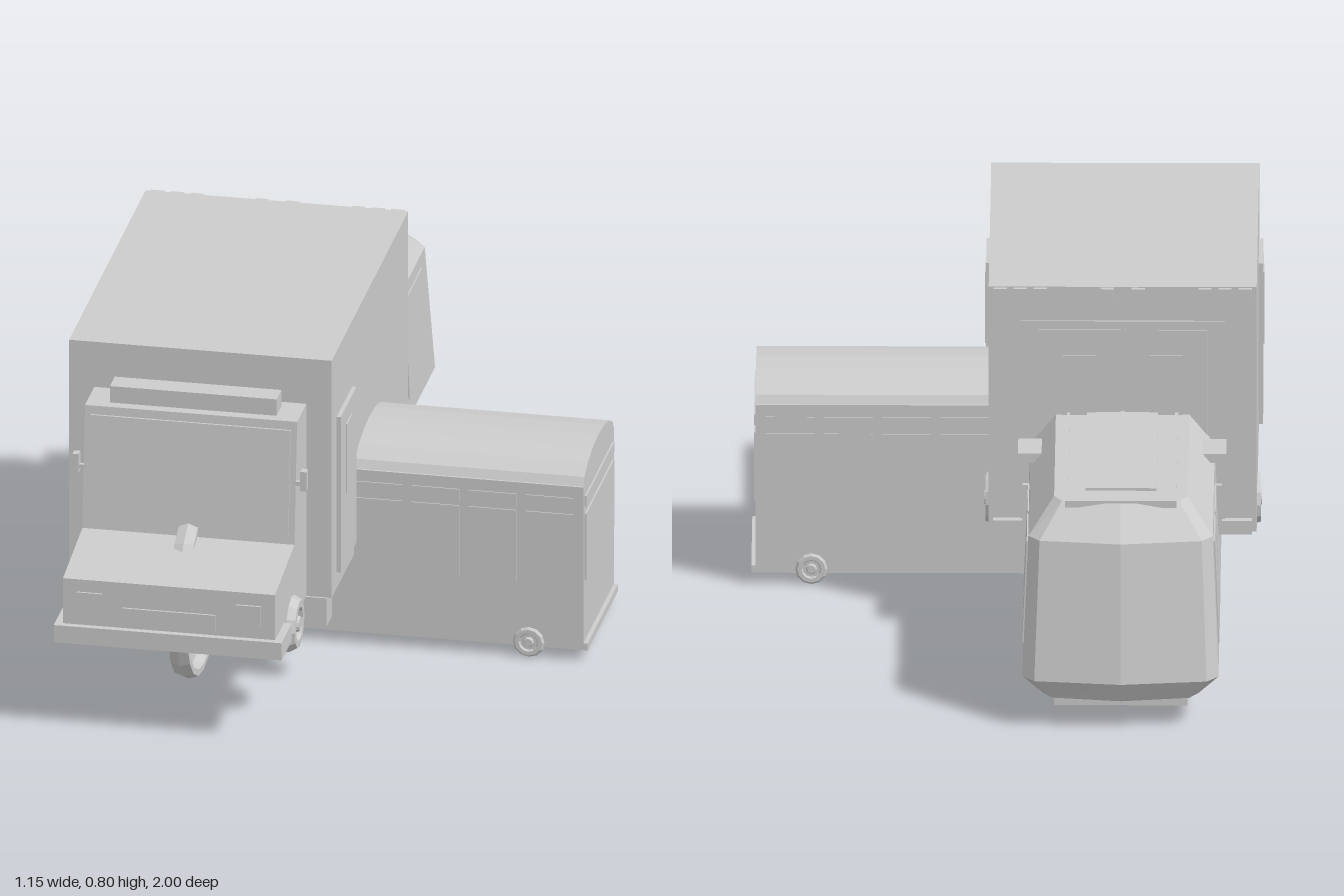
import * as THREE from 'three';

const mat = new THREE.MeshStandardMaterial({ color: 0xcccccc, flatShading: true });
const CX = -0.264; // shared centre line of van and tram

function add(parent, name, geometry) {
  const mesh = new THREE.Mesh(geometry, mat);
  mesh.name = name;
  parent.add(mesh);
  return mesh;
}

// Box given by its extents
function box(parent, name, x0, x1, y0, y1, z0, z1) {
  const m = add(parent, name, new THREE.BoxGeometry(x1 - x0, y1 - y0, z1 - z0));
  m.position.set((x0 + x1) / 2, (y0 + y1) / 2, (z0 + z1) / 2);
  return m;
}

// Box at an offset from the centre line, on both sides
function pair(parent, name, x0, x1, y0, y1, z0, z1) {
  box(parent, name + 'Left', CX + x0, CX + x1, y0, y1, z0, z1);
  box(parent, name + 'Right', CX - x1, CX - x0, y0, y1, z0, z1);
}

// Side profile of [z, y] points extruded across x
function sideExtrude(parent, name, points, x0, x1) {
  const shape = new THREE.Shape(points.map(([z, y]) => new THREE.Vector2(-z, y)));
  const g = new THREE.ExtrudeGeometry(shape, { depth: x1 - x0, bevelEnabled: false });
  g.rotateY(Math.PI / 2).translate(x0, 0, 0);
  return add(parent, name, g);
}

// Wheel with chamfered tyre, recessed rim and hub; the axle runs along +y
function wheel(parent, name, r, w) {
  const g = new THREE.Group();
  g.name = name;
  const profile = [[0, 0], [r * 0.8, 0], [r, w * 0.2], [r, w * 0.8], [r * 0.85, w], [r * 0.6, w], [r * 0.52, w * 0.85], [0, w * 0.85]];
  add(g, 'tyre', new THREE.LatheGeometry(profile.map(p => new THREE.Vector2(...p)), 12));
  const hub = add(g, 'hub', new THREE.CylinderGeometry(r * 0.25, r * 0.35, w * 0.2, 12));
  hub.position.y = w * 0.92;
  parent.add(g);
  return g;
}

function buildVan() {
  const van = new THREE.Group();
  van.name = 'boxVan';
  box(van, 'cargoBox', -0.565, 0.037, 0.22, 0.8, -0.235, 0.63);
  sideExtrude(van, 'cab', [[0.62, 0.22], [0.985, 0.22], [0.985, 0.372], [0.765, 0.402], [0.735, 0.69], [0.62, 0.69]], -0.507, -0.021);
  box(van, 'roofLightBar', -0.455, -0.073, 0.685, 0.73, 0.655, 0.71);
  // Windscreen lies on the sloping front of the cab
  sideExtrude(van, 'windscreen', [[0.76, 0.42], [0.768, 0.42], [0.742, 0.67], [0.734, 0.67]], -0.493, -0.035);
  // Bumper with bevelled ends
  const bumper = new THREE.Shape([[-0.261, 0.22], [0.261, 0.22], [0.261, 0.262], [-0.261, 0.262]].map(p => new THREE.Vector2(...p)));
  add(van, 'frontBumper', new THREE.ExtrudeGeometry(bumper, { depth: 0.115, bevelEnabled: false })).position.set(CX, 0, 0.885);
  pair(van, 'headlight', 0.153, 0.211, 0.295, 0.342, 0.98, 0.99);
  box(van, 'grille', -0.37, -0.157, 0.275, 0.312, 0.98, 0.99);
  pair(van, 'mirror', 0.254, 0.268, 0.53, 0.577, 0.735, 0.755);
  pair(van, 'mirrorBracket', 0.235, 0.258, 0.54, 0.55, 0.74, 0.75);
  pair(van, 'sideDoor', 0.298, 0.311, 0.26, 0.64, 0.4, 0.575);
  pair(van, 'sideDoorWindow', 0.308, 0.314, 0.43, 0.6, 0.46, 0.52);
  pair(van, 'step', 0.1, 0.16, 0.19, 0.215, 0.57, 0.635);
  pair(van, 'doorStep', 0.2, 0.29, 0.15, 0.22, 0.57, 0.635);
  // Rear doors, window frames, lamps and step
  pair(van, 'rearDoor', 0.005, 0.19, 0.25, 0.7, -0.243, -0.23);
  pair(van, 'rearDoorWindow', 0.06, 0.135, 0.48, 0.64, -0.247, -0.24);
  pair(van, 'rearDoorPost', 0.195, 0.23, 0.25, 0.7, -0.24, -0.23);
  box(van, 'rearDoorHeader', CX - 0.23, CX + 0.23, 0.7, 0.72, -0.24, -0.23);
  for (const x of [0.02, 0.17, 0.215, 0.26]) pair(van, 'rearLamp', x, x + 0.03, 0.775, 0.798, -0.246, -0.23);
  box(van, 'rearStep', -0.555, 0.027, 0.22, 0.252, -0.255, -0.23);
  // Road wheels
  for (const s of [-1, 1]) {
    for (const [z, outer] of [[0.8, 0.262], [-0.01, 0.309]]) {
      const w = wheel(van, 'vanWheel', 0.065, outer - 0.175);
      w.rotation.z = -s * Math.PI / 2;
      w.position.set(CX + s * 0.175, 0.225, z);
    }
  }
  return van;
}

function buildBus() {
  const bus = new THREE.Group();
  bus.name = 'bus';
  // Arched end section run along x
  const xEnd = 0.562, xStart = -0.44, zMid = 0.203, half = 0.173;
  const section = [[zMid - half, 0.03], [zMid + half, 0.03]];
  for (let i = 0; i <= 8; i++) {
    const a = (i / 8) * Math.PI;
    const t = Math.cos(a);
    section.push([zMid + half * t, 0.425 + 0.06 * Math.sin(a)]);
  }
  sideExtrude(bus, 'busBody', section, xStart, xEnd);
  box(bus, 'busBumper', 0.55, 0.572, 0.03, 0.047, zMid - half, zMid + half);
  const zs = [zMid - half, zMid + half];
  for (const z of zs) {
    for (let i = 0; i < 7; i++) {
      const x = 0.43 - i * 0.131;
      box(bus, 'busWindow', x, x + 0.11, 0.185, 0.36, z - 0.003, z + 0.003);
      box(bus, 'busUpperWindow', x, x + 0.11, 0.37, 0.4, z - 0.003, z + 0.003);
    }
    box(bus, 'busRoofRail', xStart, xEnd, 0.424, 0.429, z - 0.003, z + 0.003);
    const s = z > zMid ? 1 : -1;
    for (const x of [0.437, -0.19, -0.345]) {
      const w = wheel(bus, 'busWheel', 0.037, 0.035);
      w.rotation.x = s * Math.PI / 2;
      w.position.set(x, 0.04, z - s * 0.029);
    }
  }
  box(bus, 'busEndWindow', 0.555, 0.566, 0.195, 0.357, 0.045, 0.36);
  box(bus, 'busEndUpperWindow', 0.555, 0.566, 0.375, 0.4, 0.045, 0.36);
  return bus;
}

function buildTram() {
  const tram = new THREE.Group();
  tram.name = 'tram';
  // Stacked plan outlines: [height, half width, front z, back z]
  const levels = [[0.065, 0.175, 0.43, -0.965], [0.115, 0.22, 0.455, -0.998], [0.43, 0.207, 0.4, -0.945], [0.5, 0.15, 0.34, -0.872]];
  const pos = [], idx = [], n = 10;
  for (const [y, h, f, b] of levels) {
    const outline = [[h, f - 0.06], [h, b + 0.06], [0.88 * h, b + 0.025], [0, b], [-0.88 * h, b + 0.025],
      [-h, b + 0.06], [-h, f - 0.06], [-0.88 * h, f - 0.025], [0, f], [0.88 * h, f - 0.025]];
    for (const [x, z] of outline) pos.push(CX + x, y, z);
  }
  for (let k = 0; k < levels.length - 1; k++) {
    for (let i = 0; i < n; i++) {
      const a = k * n + i, b = k * n + (i + 1) % n;
      idx.push(a, b, b + n, a, b + n, a + n);
    }
  }
  const top = (levels.length - 1) * n;
  for (let i = 1; i < n - 1; i++) {
    idx.push(0, i + 1, i);
    idx.push(top, top + i, top + i + 1);
  }
  const g = new THREE.BufferGeometry();
  g.setAttribute('position', new THREE.Float32BufferAttribute(pos, 3));
  g.setIndex(idx);
  const body = g.toNonIndexed();
  body.computeVertexNormals();
  add(tram, 'tramBody', body);
  // Roof rails and equipment panel
  pair(tram, 'roofRail', 0.118, 0.125, 0.49, 0.506, -0.86, 0.3);
  box(tram, 'roofRailEnd', CX - 0.125, CX + 0.125, 0.49, 0.506, -0.865, -0.857);
  box(tram, 'roofPanel', CX - 0.08, CX + 0.08, 0.49, 0.506, -0.775, 0.2);
  pair(tram, 'sideCamera', 0.18, 0.234, 0.44, 0.462, -0.405, -0.3);
  pair(tram, 'doorHandle', 0.2, 0.224, 0.27, 0.37, -0.355, -0.34);
  // Side glazing follows the lean of the walls
  for (const s of [-1, 1]) {
    for (const z of [-0.74, -0.53]) {
      const w = box(tram, 'tramWindow', CX - 0.003, CX + 0.003, 0.16, 0.4, z - 0.095, z + 0.095);
      w.position.x = CX + s * 0.2135;
      w.rotation.z = s * 0.041;
    }
  }
  // Bogie covers
  box(tram, 'rearBogieCover', CX - 0.15, CX + 0.15, 0.02, 0.07, -0.86, -0.71);
  box(tram, 'centreBogieCover', CX - 0.17, CX + 0.17, 0.037, 0.07, -0.45, 0.38);
  box(tram, 'frontBogieCover', CX - 0.17, CX + 0.17, 0.02, 0.07, 0.37, 0.46);
  pair(tram, 'frontLamp', 0.025, 0.15, 0.028, 0.054, 0.455, 0.464);
  return tram;
}

function buildUndercarriage() {
  const under = new THREE.Group();
  under.name = 'undercarriage';
  // Large steering-plane hoop through the cab
  const hoop = add(under, 'hoop', new THREE.TorusGeometry(0.187, 0.0145, 6, 20));
  hoop.scale.z = 1.75;
  hoop.rotation.y = Math.PI / 2;
  hoop.position.set(CX, 0.245, 0.7);
  // Paired rollers ahead of the tram
  for (const s of [-1, 1]) {
    const w = wheel(under, 'roller', 0.055, 0.095);
    w.rotation.z = -s * Math.PI / 2;
    w.position.set(CX + s * 0.11, 0.138, 0.495);
  }
  return under;
}

export function createModel() {
  const model = new THREE.Group();
  model.name = 'vehicleCluster';
  model.add(buildVan(), buildBus(), buildTram(), buildUndercarriage());
  return model;
}
